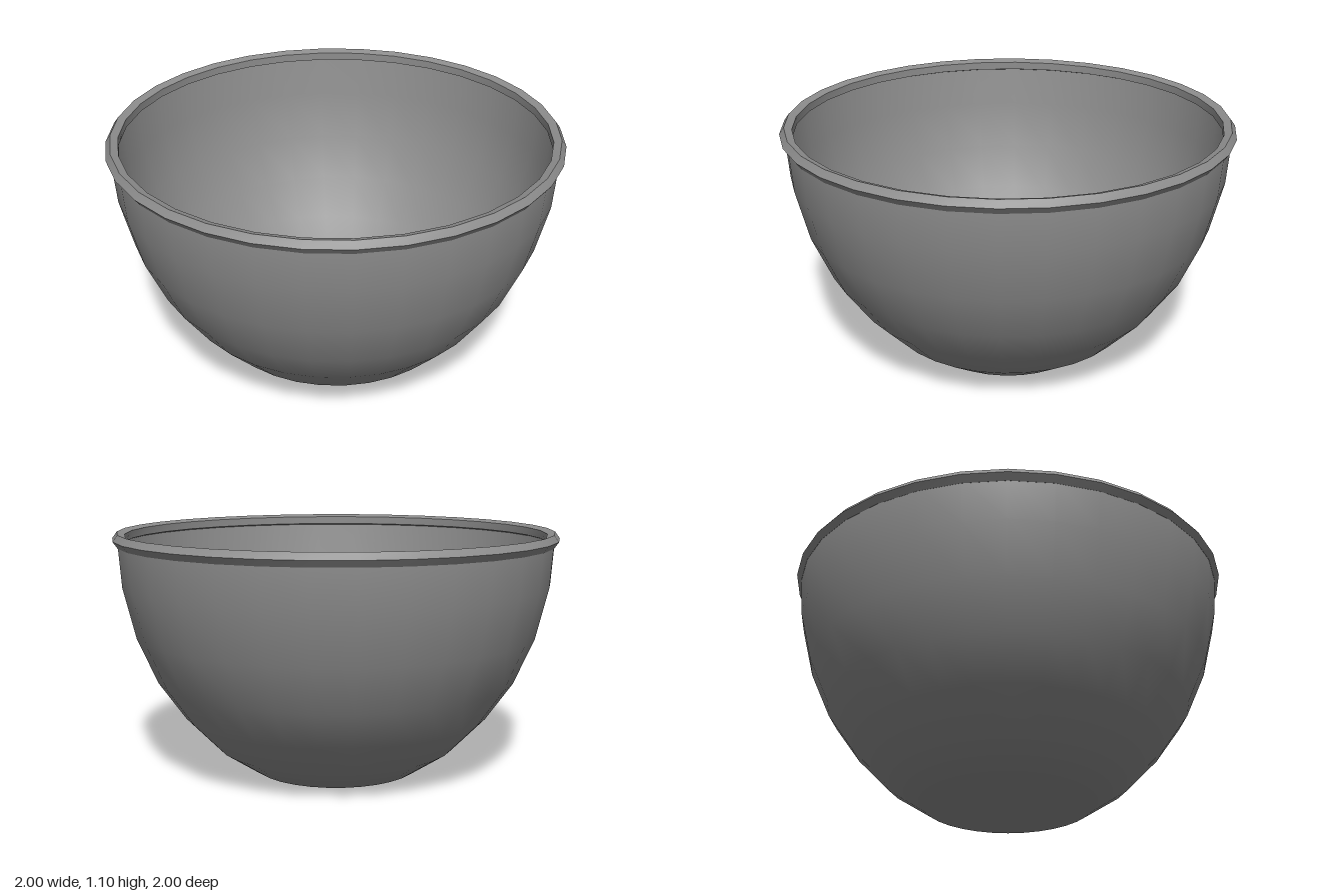
import * as THREE from 'three';
import { toCreasedNormals } from 'three/addons/utils/BufferGeometryUtils.js';

const SIDES = 32;

export function createModel() {
  const group = new THREE.Group();
  group.name = 'bowl';
  const material = new THREE.MeshStandardMaterial({ color: 0x8d8d8d });

  // Thin wall: outer profile going up, then the inner one coming back down
  const outer = [
    [0, 0], [0.19, 0], [0.38, 0.003], [0.55, 0.115], [0.7, 0.27], [0.82, 0.44],
    [0.91, 0.645], [0.965, 0.87], [0.98, 1.071],
  ].map(([r, y]) => new THREE.Vector2(r, y));
  const centre = new THREE.Vector2(0, 1.071);
  const inner = outer
    .map((p) => p.clone().sub(centre).multiplyScalar(0.985).add(centre))
    .reverse();
  const wall = new THREE.Mesh(new THREE.LatheGeometry([...outer, ...inner], SIDES), material);
  wall.name = 'bowlWall';
  group.add(wall);

  // Five-sided rolled lip, smooth around but sharp between its bands
  const lip = new THREE.TorusGeometry(0.9696, 0.0304, 5, SIDES);
  lip.rotateX(-Math.PI / 2);
  const rim = new THREE.Mesh(toCreasedNormals(lip, Math.PI / 6), material);
  rim.name = 'rim';
  rim.position.y = 1.071;
  group.add(rim);

  return group;
}
